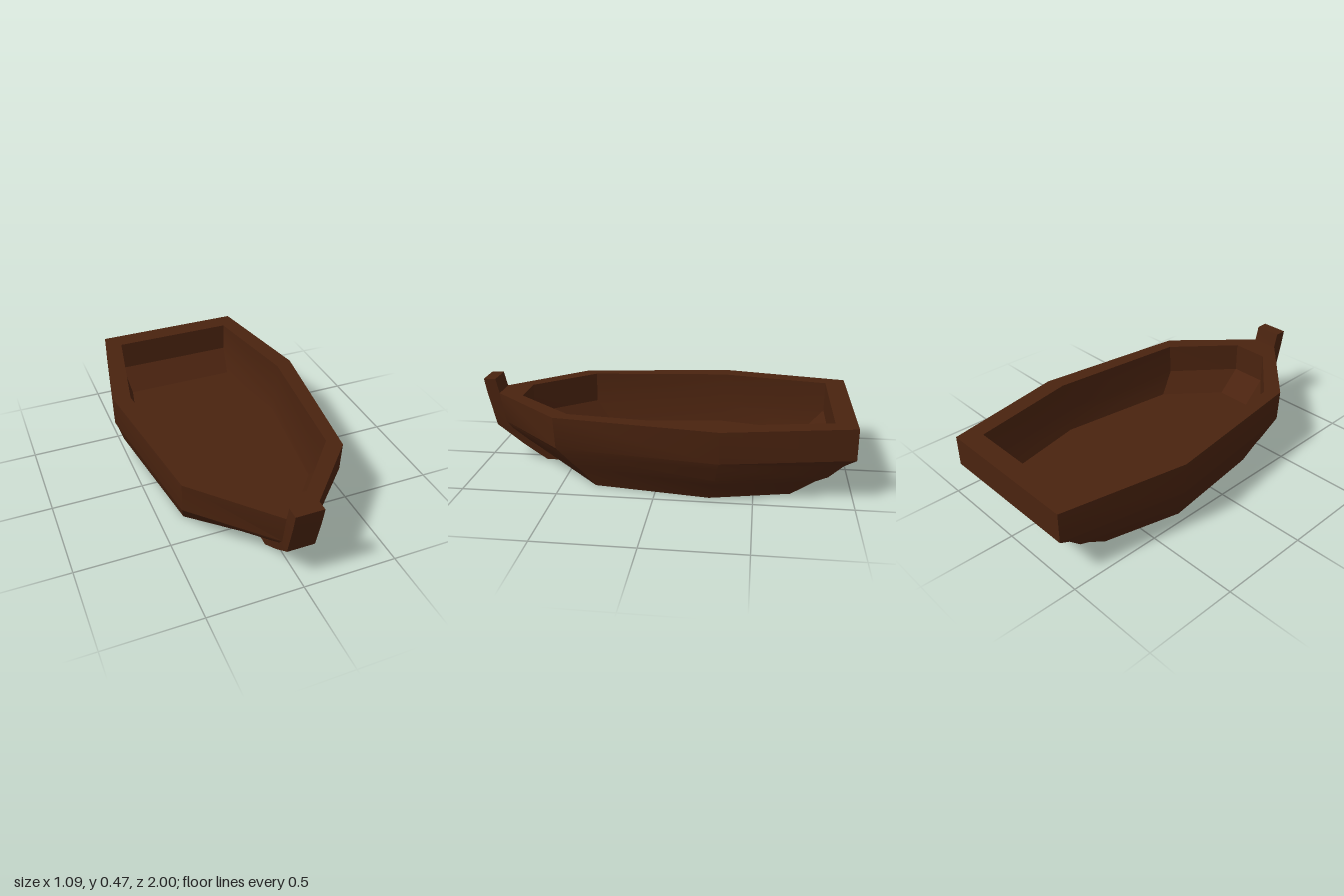
import * as THREE from 'three';
import { toCreasedNormals } from 'three/addons/utils/BufferGeometryUtils.js';

// Skin a stack of mirrored rings. Each ring is { y, pts }, with pts = [x, z] of
// the left half from stern to bow; the right half is mirrored.
function loft(rings, { capStart = false, capEnd = false } = {}) {
  const pos = [], index = [];
  const n = rings[0].pts.length * 2;
  for (const { y, pts } of rings) {
    for (const [x, z] of pts) pos.push(x, y, z);
    for (const [x, z] of [...pts].reverse()) pos.push(-x, y, z);
  }
  for (let r = 0; r < rings.length - 1; r++) {
    for (let i = 0; i < n; i++) {
      const j = (i + 1) % n, a = r * n, b = a + n;
      index.push(a + i, b + i, b + j, a + i, b + j, a + j);
    }
  }
  const top = (rings.length - 1) * n;
  for (let i = 1; i < n - 1; i++) {
    if (capStart) index.push(0, i, i + 1);
    if (capEnd) index.push(top, top + i + 1, top + i);
  }
  const geo = new THREE.BufferGeometry();
  geo.setAttribute('position', new THREE.Float32BufferAttribute(pos, 3));
  geo.setIndex(index);
  return toCreasedNormals(geo, 0.45);
}

const ring = (y, ...pts) => ({ y, pts });

export function createModel() {
  const wood = new THREE.MeshStandardMaterial({ color: 0x4a230f });
  wood.name = 'dark brown wood';

  const boat = new THREE.Group();
  boat.name = 'rowingBoat';
  const add = (name, geo) => {
    const mesh = new THREE.Mesh(geo, wood);
    mesh.name = name;
    boat.add(mesh);
  };

  // Ring points: stern corner, widest point, shoulder, bow
  const gunwale = ring(0.39, [0.415, -1], [0.545, -0.33], [0.435, 0.52], [0.07, 0.92]);
  const opening = ring(0.39, [0.34, -0.89], [0.45, -0.3], [0.37, 0.46], [0.1, 0.775]);

  // Outer shell with the stepped overhang below the top plank
  add('hull', loft([
    ring(0, [0.35, -0.69], [0.45, -0.28], [0.37, 0.32], [0.06, 0.6]),
    ring(0.09, [0.38, -0.81], [0.495, -0.3], [0.395, 0.39], [0.06, 0.73]),
    ring(0.12, [0.39, -0.87], [0.51, -0.31], [0.405, 0.42], [0.065, 0.77]),
    ring(0.19, [0.405, -0.94], [0.53, -0.32], [0.425, 0.48], [0.07, 0.86]),
    ring(0.225, [0.415, -1], [0.545, -0.33], [0.435, 0.51], [0.07, 0.89]),
    gunwale,
  ], { capStart: true }));

  // Flat top edge
  add('rim', loft([gunwale, opening]));

  // Inner walls, sloped lower edge and floor
  add('interior', loft([
    opening,
    ring(0.225, [0.34, -0.89], [0.45, -0.3], [0.36, 0.46], [0.1, 0.775]),
    ring(0.105, [0.32, -0.775], [0.42, -0.29], [0.335, 0.37], [0.1, 0.65]),
  ], { capEnd: true }));

  // Stem post following the bow and rising above it: y, back z, front z, half width
  add('stemPost', loft([
    [0, 0.58, 0.67, 0.055],
    [0.09, 0.71, 0.8, 0.06],
    [0.185, 0.84, 0.915, 0.07],
    [0.205, 0.86, 0.94, 0.073],
    [0.39, 0.915, 0.985, 0.073],
    [0.47, 0.935, 1, 0.073],
  ].map(([y, back, front, w]) => ring(y, [w, back], [w, front])), { capStart: true, capEnd: true }));

  return boat;
}
